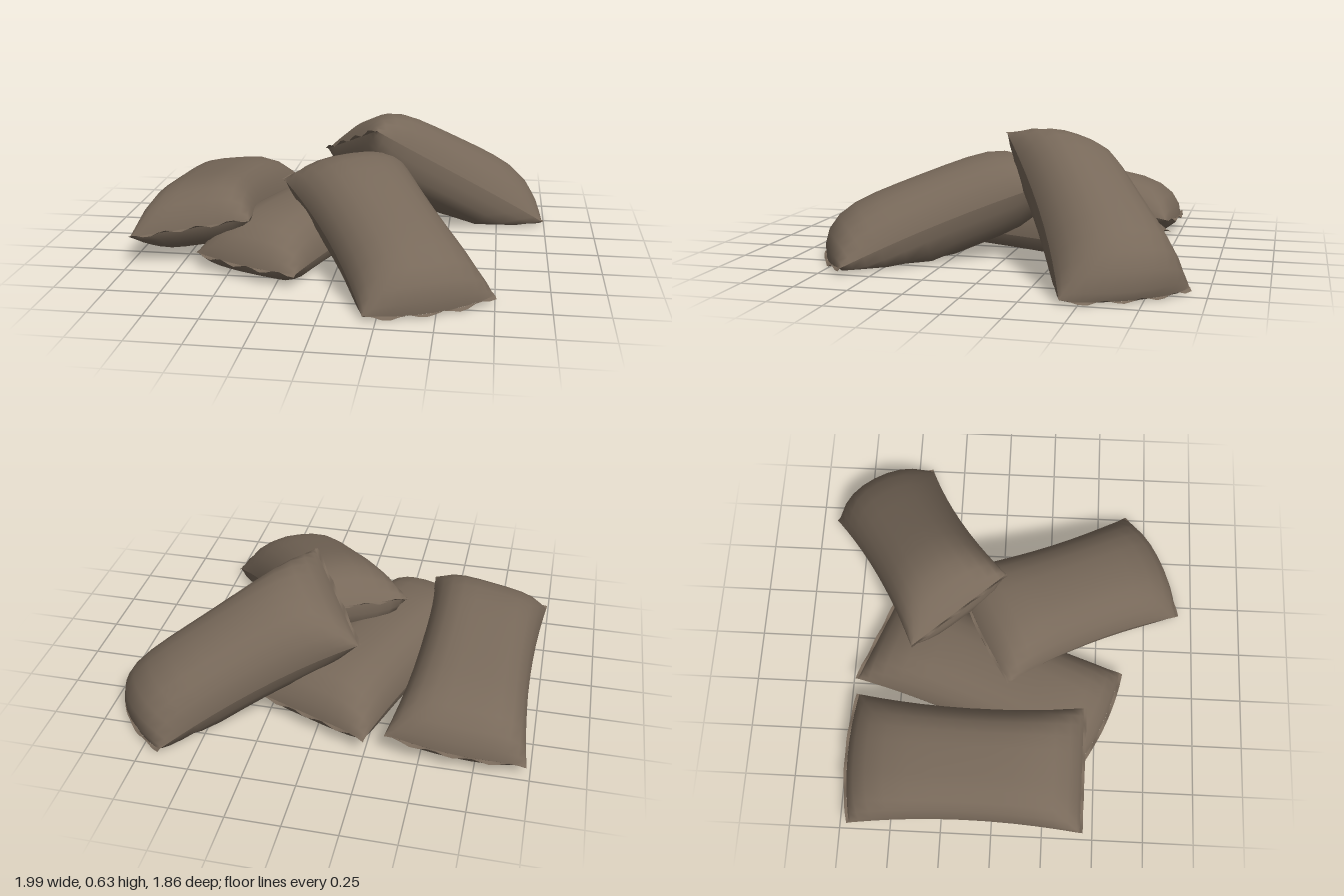
import * as THREE from 'three';

const NU = 12, NV = 14;

// Four corners run A(u-,v-), B(u+,v-), C(u+,v+), D(u-,v+); v is the long way of the sack.
// top/bottom: stuffing above and below the seam, arch: bend of the whole sack,
// round: fullness across the top (higher is boxier), bulge: outward curve of the two short ends.
const SACKS = [
  { name: 'baseSack', corners: [[-0.25, 0.08, -0.72], [0.31, 0.08, -0.5], [-0.15, 0.07, 0.62], [-0.67, 0.07, 0.4]],
    top: 0.2, bottom: 0.14, arch: 0, round: 3, bulge: [0, 0.05] },
  { name: 'leaningSack', corners: [[-0.98, 0.05, -0.7], [-0.34, 0.11, -0.7], [-0.4, 0.26, 0.43], [-0.99, 0.14, 0.43]],
    top: 0.19, bottom: 0.14, arch: 0.01, round: 4, bulge: [0.06, 0] },
  { name: 'frontSack', corners: [[-0.31, 0.35, 0.06], [0.25, 0.38, -0.23], [0.75, 0.03, 0.64], [0.19, 0.02, 0.92]],
    top: 0.2, bottom: 0.2, arch: 0.01, round: 2.6, bulge: [0.05, 0.09] },
  { name: 'backSack', corners: [[0.15, 0.6, 0.02], [-0.16, 0.38, -0.43], [0.66, 0.02, -0.92], [0.99, 0.02, -0.42]],
    top: 0.22, bottom: 0.19, arch: 0.01, round: 2.6, bulge: [0, 0.15] },
];

// Returns a function (u, v, side) giving a point on the sack; side 1 = top, -1 = underside, 0 = seam
function sackSurface({ corners, top, bottom, arch, round, bulge }) {
  const [a, b, c, d] = corners.map((p) => new THREE.Vector3(...p));
  const normal = new THREE.Vector3().subVectors(c, a).cross(new THREE.Vector3().subVectors(b, d)).normalize();
  const puffAt = (u, v, power) => Math.pow(Math.max(0, (1 - Math.abs(u) ** power) * (1 - Math.abs(v) ** 5)), 0.6);
  return (u, v, side) => {
    // narrow waist along the sides, bulging ends
    const uu = u * (1 - 0.12 * (1 - v * v));
    const vv = v * (1 + bulge[v < 0 ? 0 : 1] * (1 - u * u));
    const s = (uu + 1) / 2, t = (vv + 1) / 2;
    const p = a.clone().lerp(b, s).lerp(d.clone().lerp(c, s), t);
    const puff = side > 0 ? top * puffAt(u, v, round) : side < 0 ? -bottom * puffAt(u, v, 4) : 0;
    p.addScaledVector(normal, puff + arch * (1 - v * v));
    p.y = Math.max(p.y, 0.008);
    return p;
  };
}

// Grid of points joined into a smooth surface; flip turns it to face the other way
function gridGeometry(nu, nv, pointAt, flip) {
  const pos = [], index = [];
  for (let j = 0; j <= nv; j++) {
    for (let i = 0; i <= nu; i++) pos.push(...pointAt(i / nu, j / nv).toArray());
  }
  for (let j = 0; j < nv; j++) {
    for (let i = 0; i < nu; i++) {
      const p = j * (nu + 1) + i, q = p + nu + 1;
      if (flip) index.push(p, p + 1, q, p + 1, q + 1, q);
      else index.push(p, q, p + 1, p + 1, q, q + 1);
    }
  }
  const g = new THREE.BufferGeometry();
  g.setAttribute('position', new THREE.Float32BufferAttribute(pos, 3));
  g.setIndex(index);
  g.computeVertexNormals();
  return g;
}

// Spaces samples closer together towards the seams
const spread = (t) => Math.sin((t - 0.5) * Math.PI);

function makeSack(spec, cloth) {
  const sack = new THREE.Group();
  sack.name = spec.name;
  const surface = sackSurface(spec);
  const add = (name, geometry) => {
    const mesh = new THREE.Mesh(geometry, cloth);
    mesh.name = name;
    sack.add(mesh);
  };
  add('upperCloth', gridGeometry(NU, NV, (s, t) => surface(spread(s), spread(t), 1), false));
  add('lowerCloth', gridGeometry(NU, NV, (s, t) => surface(spread(s), spread(t), -1), true));

  // Thin ruffled hem sewn along both short ends
  for (const end of [-1, 1]) {
    add('hem', gridGeometry(16, 1, (s, t) => {
      const p = surface(s * 2 - 1, end * (1 + 0.025 * t), 0);
      p.y = Math.max(0, p.y + t * 0.01 * Math.sin(s * 23 + end));
      return p;
    }, end < 0));
  }
  return sack;
}

export function createModel() {
  const model = new THREE.Group();
  model.name = 'sackPile';
  const cloth = new THREE.MeshStandardMaterial({ color: 0x78695a, side: THREE.DoubleSide });
  cloth.name = 'brownSackcloth';
  for (const spec of SACKS) model.add(makeSack(spec, cloth));
  return model;
}
